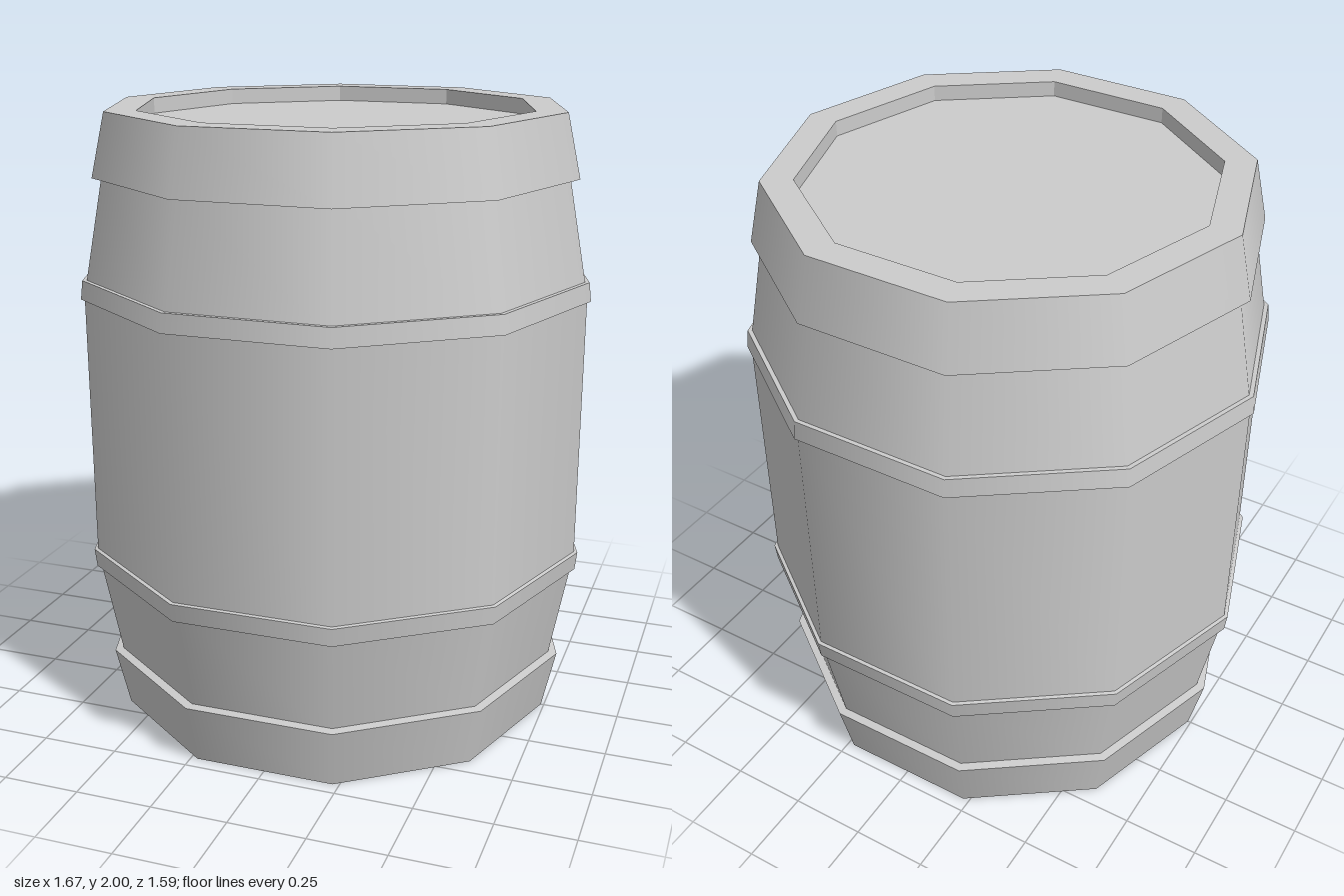
import * as THREE from 'three';
import { mergeGeometries } from 'three/addons/utils/BufferGeometryUtils.js';

const SIDES = 10;
const HEIGHT = 2;
const material = new THREE.MeshStandardMaterial({ color: 0xcccccc });
const flatMaterial = new THREE.MeshStandardMaterial({ color: 0xcccccc, flatShading: true });

// Ten-sided ring: smooth around the axis, sharp between profile segments.
// Profiles are [radius, y], running upward on outward-facing surfaces.
function ring(name, profile, mat = material) {
  const strips = [];
  for (let i = 0; i < profile.length - 1; i++) {
    const points = [profile[i], profile[i + 1]].map(([r, y]) => new THREE.Vector2(r, y));
    strips.push(new THREE.LatheGeometry(points, SIDES, Math.PI / 2));
  }
  const mesh = new THREE.Mesh(mergeGeometries(strips), mat);
  mesh.name = name;
  return mesh;
}

// Same profile reflected about mid-height, reversed to keep faces outward
const flip = (profile) => profile.map(([r, y]) => [r, HEIGHT - y]).reverse();

export function createModel() {
  const barrel = new THREE.Group();
  barrel.name = 'barrel';

  // Staves: tapered ends and a straight middle
  const taper = [[0.752, 0.18], [0.82, 0.54]];
  barrel.add(ring('staves', [...taper, [0.825, 0.56], [0.825, 1.44], ...flip(taper)]));

  // Profiles for the lower half
  const endHoop = [[0.64, 0], [0.74, 0], [0.785, 0.2], [0.752, 0.205]];
  const middleHoop = [[0.81, 0.517], [0.83, 0.517], [0.837, 0.577], [0.82, 0.58]];
  const recess = [[0.64, 0.05], [0.64, 0]];
  const head = [[0, 0.05], [0.64, 0.05]];

  for (const [side, place] of [['bottom', (p) => p], ['top', flip]]) {
    barrel.add(
      ring(side + 'EndHoop', place(endHoop)),
      ring(side + 'MiddleHoop', place(middleHoop)),
      ring(side + 'RecessWall', place(recess), flatMaterial),
      ring(side + 'Head', place(head), flatMaterial)
    );
  }
  return barrel;
}
